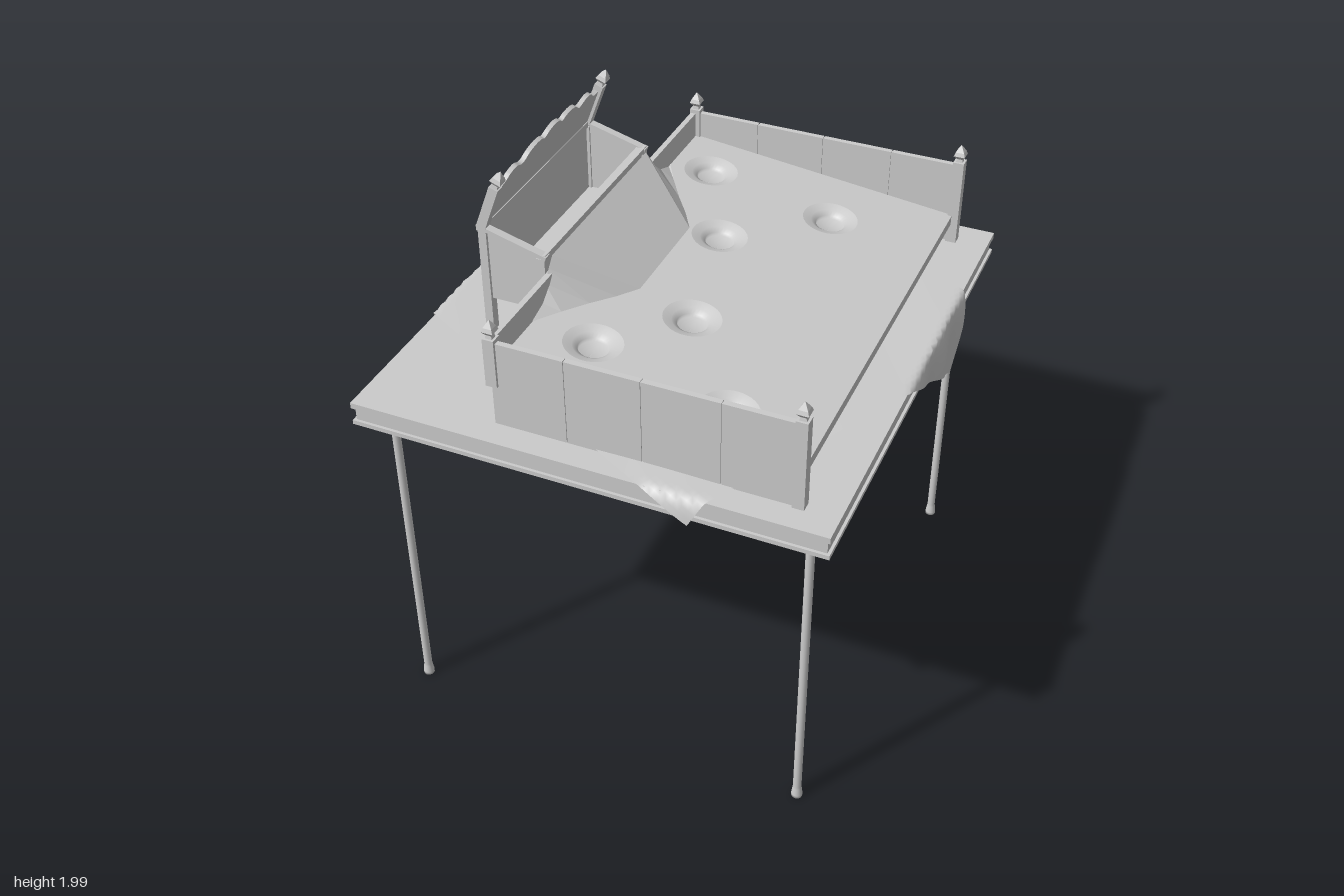
import * as THREE from 'three';

const grey = new THREE.MeshStandardMaterial({ color: 0xcccccc, side: THREE.DoubleSide });
const flat = new THREE.MeshStandardMaterial({ color: 0xcccccc, side: THREE.DoubleSide, flatShading: true });

function add(parent, name, geometry, x = 0, y = 0, z = 0, material = grey) {
  const mesh = new THREE.Mesh(geometry, material);
  mesh.name = name;
  mesh.position.set(x, y, z);
  parent.add(mesh);
  return mesh;
}

// Box given by its lower and upper corners
function box(parent, name, x0, x1, y0, y1, z0, z1) {
  const g = new THREE.BoxGeometry(x1 - x0, y1 - y0, z1 - z0);
  return add(parent, name, g, (x0 + x1) / 2, (y0 + y1) / 2, (z0 + z1) / 2);
}

function lathe(points, segments) {
  return new THREE.LatheGeometry(points.map(([r, y]) => new THREE.Vector2(r, y)), segments);
}

// Square post with a faceted finial
function post(parent, name, x, y0, y1, z, w) {
  box(parent, name, x - w / 2, x + w / 2, y0, y1, z - w / 2, z + w / 2);
  const g = lathe([[0.017, 0], [0.014, 0.012], [0.029, 0.026], [0.022, 0.04], [0, 0.066]], 4);
  add(parent, name + 'Finial', g.rotateY(Math.PI / 4), x, y1, z, flat);
}

function makeTable() {
  const table = new THREE.Group();
  table.name = 'table';
  box(table, 'tableTop', -0.83, 0.83, 1.315, 1.337, -0.92, 0.92);
  box(table, 'tableApron', -0.82, 0.82, 1.262, 1.318, -0.91, 0.91);
  box(table, 'tableLowerTrim', -0.83, 0.83, 1.25, 1.266, -0.92, 0.92);
  const leg = lathe([[0, 0], [0.02, 0], [0.02, 0.012], [0.016, 0.04], [0.015, 0.05], [0.015, 1.255]], 16);
  for (const x of [-0.745, 0.735]) for (const z of [-0.803, 0.81]) add(table, 'tableLeg', leg, x, 0, z);
  return table;
}

// Square cloth laid askew, folded down where it passes the table edges
function makeCloth() {
  const n = 64;
  const corners = [[1.11, -0.36], [0.38, 1.02], [-1.01, 0.28], [-0.27, -1.05]];
  const g = new THREE.PlaneGeometry(1, 1, n, n);
  const p = g.attributes.position;
  const mix = THREE.MathUtils.lerp;
  for (let i = 0; i < p.count; i++) {
    const u = p.getX(i) + 0.5, v = p.getY(i) + 0.5;
    const flatAt = k => mix(mix(corners[3][k], corners[0][k], u), mix(corners[2][k], corners[1][k], u), v);
    let x = flatAt(0), z = flatAt(1);
    const hump = Math.exp(-((x + 0.48) ** 2 / 0.012 + (z + 0.13) ** 2 / 0.025));
    let y = 1.343 + 0.036 * hump + 0.004 * Math.sin(9 * x + 3) * Math.sin(7 * z);
    const dx = Math.abs(x) - 0.83, dz = Math.abs(z) - 0.92;
    if (dx > 0) {
      const out = 0.022 * (1 - Math.exp(-dx * 25)) + 0.008 * Math.sin(z * 24) * Math.min(1, dx * 8);
      x = Math.sign(x) * (0.83 + Math.max(0.006, out));
      y -= dx * dx / (dx + 0.012);
    }
    if (dz > 0) {
      const out = 0.028 * (1 - Math.exp(-dz * 30)) + 0.006 * Math.sin(x * 22) * Math.min(1, dz * 8);
      z = Math.sign(z) * (0.92 + Math.max(0.006, out));
      y -= dz * dz / (dz + 0.012);
    }
    p.setXYZ(i, x, y, z);
  }
  g.computeVertexNormals();
  const cloth = new THREE.Mesh(g, grey);
  cloth.name = 'cloth';
  return cloth;
}

// Height of the tilted bed surface
const bedY = x => 1.523 - 0.11 * x;

// Moves a geometry onto the tilted bed
function tilt(g) {
  const p = g.attributes.position;
  for (let i = 0; i < p.count; i++) p.setY(i, p.getY(i) + bedY(p.getX(i)));
  g.computeVertexNormals();
  return g;
}

function makeBed() {
  const bed = new THREE.Group();
  bed.name = 'bed';
  for (const z of [-0.815, 0.815]) {
    post(bed, 'headPost', -0.34, 1.49, 1.67, z, 0.04);
    post(bed, 'footPost', 0.695, 1.337, 1.67, z, 0.04);
    // Boarded end panel
    const seams = [-0.345, -0.085, 0.175, 0.44, 0.69];
    for (let i = 0; i < 4; i++)
      box(bed, 'endBoard', seams[i] + 0.002, seams[i + 1] - 0.002, 1.337, 1.655, z - 0.01, z + 0.01);
    box(bed, 'endPanelCore', -0.34, 0.69, 1.34, 1.652, z - 0.006, z + 0.006);
  }
  box(bed, 'headPanel', -0.357, -0.337, 1.5, 1.655, -0.8, 0.8);

  // Tilted slab with round sunken pits
  const pits = [[-0.19, -0.6], [0.305, -0.54], [0, -0.225], [0.105, 0.265], [-0.12, 0.55], [0.39, 0.64]];
  const shape = new THREE.Shape([[-0.34, -0.804], [0.69, -0.804], [0.69, 0.804], [-0.34, 0.804]]
    .map(([x, y]) => new THREE.Vector2(x, y)));
  for (const [x, z] of pits) shape.holes.push(new THREE.Path().absarc(x, -z, 0.1, 0, Math.PI * 2, true));
  const slab = new THREE.ExtrudeGeometry(shape, { depth: 0.036, bevelEnabled: false, curveSegments: 16 });
  add(bed, 'bedSlab', tilt(slab.rotateX(-Math.PI / 2).translate(0, -0.036, 0)));
  for (const [x, z] of pits) {
    const bowl = lathe([[0, -0.034], [0.05, -0.034], [0.052, -0.022], [0.07, -0.01], [0.1, 0]], 32);
    add(bed, 'pit', tilt(bowl.translate(x, 0, z)));
  }

  // Ramp rising to the chest rim: [top z, top y, foot x, foot z]
  const half = [[0.56, 1.56, -0.34, 0.56], [0.48, 1.59, -0.28, 0.46], [0.43, 1.63, -0.22, 0.37],
    [0.4, 1.67, -0.16, 0.29], [0.37, 1.705, -0.11, 0.21]];
  const rows = [...half, ...half.map(([a, b, c, d]) => [-a, b, c, -d]).reverse()];
  const verts = [], index = [];
  rows.forEach(([tz, ty, fx, fz], i) => {
    verts.push(-0.35, ty, tz, fx, bedY(fx) + 0.002, fz);
    const k = i * 2;
    if (i < rows.length - 1) index.push(k, k + 1, k + 2, k + 1, k + 3, k + 2);
  });
  const ramp = new THREE.BufferGeometry();
  ramp.setAttribute('position', new THREE.Float32BufferAttribute(verts, 3));
  ramp.setIndex(index);
  ramp.computeVertexNormals();
  add(bed, 'ramp', ramp, 0, 0, 0, flat);
  return bed;
}

function makeChest() {
  const chest = new THREE.Group();
  chest.name = 'chest';
  const side = new THREE.Shape([[-0.605, 1.49], [-0.365, 1.49], [-0.365, 1.705], [-0.605, 1.77]]
    .map(([x, y]) => new THREE.Vector2(x, y)));
  const sideBoard = new THREE.ExtrudeGeometry(side, { depth: 0.016, bevelEnabled: false });
  const rimAngle = -Math.atan2(0.065, 0.24);
  for (const s of [-1, 1]) {
    add(chest, 'chestSide', sideBoard, 0, 0, s * 0.385 - 0.008);
    box(chest, 'chestBackLeg', -0.605, -0.575, 1.337, 1.76, s * 0.387 - 0.017, s * 0.387 + 0.017);
    box(chest, 'chestFrontLeg', -0.392, -0.362, 1.337, 1.7, s * 0.387 - 0.017, s * 0.387 + 0.017);
    const rim = add(chest, 'sideRim', new THREE.BoxGeometry(0.26, 0.014, 0.03), -0.483, 1.738, s * 0.39);
    rim.rotation.z = rimAngle;
  }
  box(chest, 'chestBack', -0.603, -0.587, 1.49, 1.768, -0.385, 0.385);
  box(chest, 'chestFront', -0.383, -0.367, 1.49, 1.705, -0.385, 0.385);
  box(chest, 'chestFloor', -0.6, -0.37, 1.49, 1.506, -0.385, 0.385);
  box(chest, 'frontRim', -0.39, -0.36, 1.697, 1.715, -0.4, 0.4);
  box(chest, 'backRim', -0.61, -0.58, 1.757, 1.778, -0.405, 0.405);

  // Raised lid with a scalloped top edge
  const lid = new THREE.Group();
  lid.name = 'lid';
  const wave = [[0.375, 0.15], [0.33, 0.155], [0.3, 0.178], [0.26, 0.186], [0.21, 0.168], [0.17, 0.195],
    [0.13, 0.206], [0.09, 0.203], [0.065, 0.192], [0.035, 0.21], [0, 0.218]];
  const edge = [...wave, ...wave.slice(0, -1).reverse().map(([z, y]) => [-z, y])];
  const board = new THREE.Shape();
  board.moveTo(-0.375, 0);
  board.lineTo(0.375, 0);
  board.lineTo(0.375, 0.15);
  board.splineThru(edge.slice(1).map(([z, y]) => new THREE.Vector2(z, y)));
  const g = new THREE.ExtrudeGeometry(board, { depth: 0.016, bevelEnabled: false, curveSegments: 48 });
  add(lid, 'lidBoard', g.rotateY(Math.PI / 2), -0.004, 0, 0);
  for (const s of [-1, 1]) post(lid, 'lidPost', 0.006, 0, 0.172, s * 0.39, 0.034);
  lid.position.set(-0.598, 1.772, 0);
  lid.rotation.z = -0.36;
  chest.add(lid);
  return chest;
}

export function createModel() {
  const model = new THREE.Group();
  model.name = 'tableWithMiniatureBed';
  model.add(makeTable(), makeCloth(), makeBed(), makeChest());
  return model;
}
